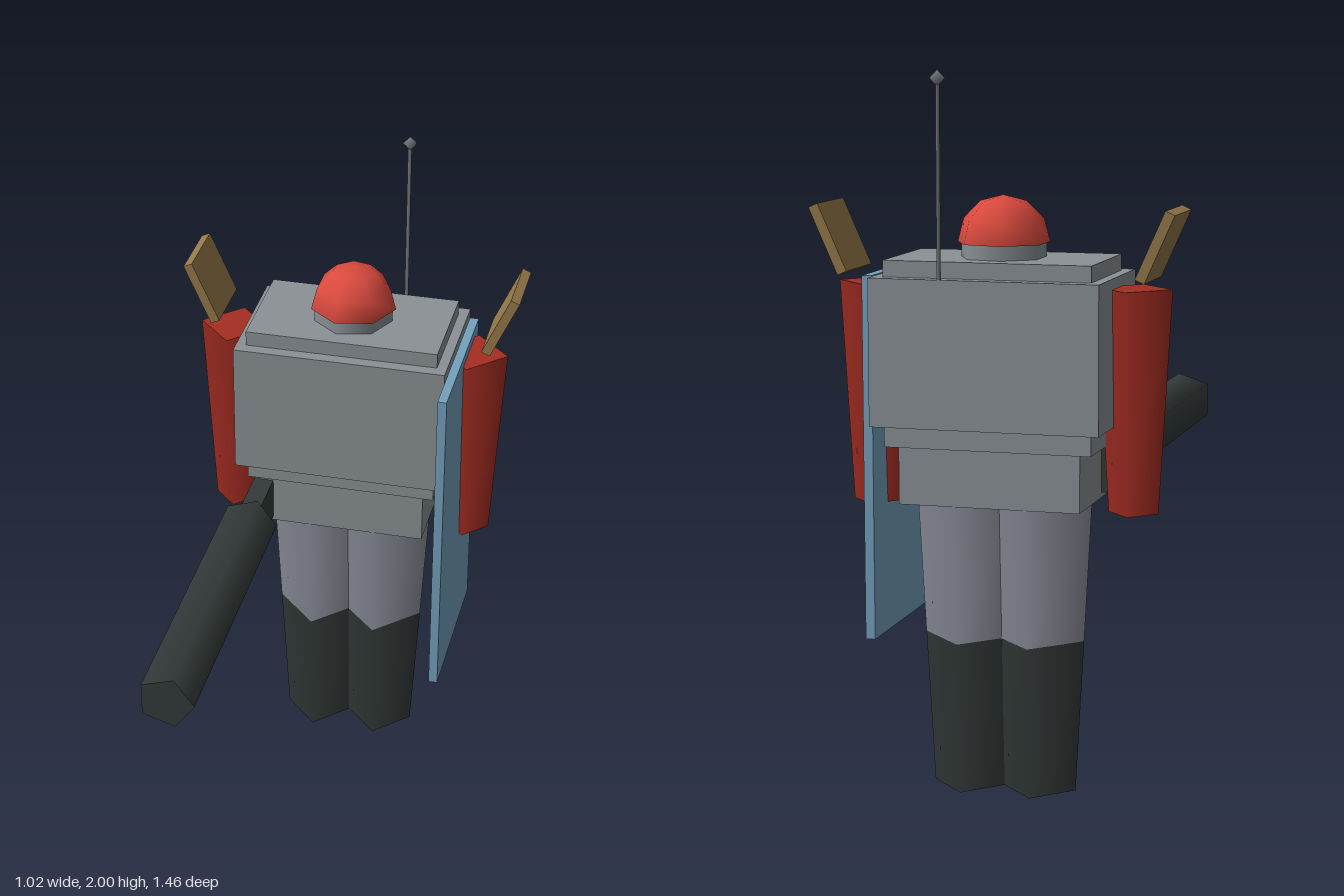
import * as THREE from 'three';

const mat = (name, hex) => {
  const m = new THREE.MeshStandardMaterial({ color: hex });
  m.name = name;
  return m;
};

export function createModel() {
  const group = new THREE.Group();
  const Z = -0.51; // depth of the body axis
  const plating = mat('plating grey', 0x8b9196);
  const cloth = mat('trouser grey', 0x8e929e);
  const dark = mat('charcoal', 0x333a39);
  const red = mat('sleeve red', 0xa52d22);
  const brightRed = mat('helmet red', 0xdb4a3e);
  const blue = mat('shield blue', 0x75a1be);
  const gold = mat('brass', 0x95794a);
  const metal = mat('antenna grey', 0x77797c);

  const add = (name, geometry, material, x, y, z) => {
    const m = new THREE.Mesh(geometry, material);
    m.name = name;
    m.position.set(x, y, z);
    group.add(m);
    return m;
  };
  const box = (name, material, w, h, d, x, y, z) =>
    add(name, new THREE.BoxGeometry(w, h, d), material, x, y, z);
  // Tapered post standing between heights y0 and y1
  const post = (name, material, r0, r1, y0, y1, sides, x, z, start = 0) =>
    add(name, new THREE.CylinderGeometry(r1, r0, y1 - y0, sides, 1, false, start),
      material, x, (y0 + y1) / 2, z);

  // Torso
  box('chest', plating, 0.64, 0.405, 0.41, 0, 1.2425, Z);
  box('torsoCore', plating, 0.58, 0.51, 0.335, 0, 1.235, Z);
  box('waist', plating, 0.51, 0.17, 0.3, 0, 0.905, Z);

  // Neck and seven-sided dome
  post('neck', plating, 0.12, 0.12, 1.48, 1.53, 7, 0, Z, Math.PI / 2);
  const dome = add('dome',
    new THREE.SphereGeometry(0.13, 7, 3, 0, Math.PI * 2, 0, Math.PI / 2),
    brightRed, 0, 1.53, Z);
  dome.rotation.y = Math.PI;

  // Limbs and shoulder fins, mirrored
  for (const [side, s] of [['left', 1], ['right', -1]]) {
    post(side + 'Boot', dark, 0.105, 0.129, 0, 0.43, 4, s * 0.1, Z);
    post(side + 'Thigh', cloth, 0.129, 0.151, 0.43, 0.83, 4, s * 0.1, Z);
    post(side + 'Arm', red, 0.07, 0.106, 0.8, 1.415, 4, s * 0.367, Z);
    const fin = box(side + 'ShoulderFin', gold, 0.028, 0.2, 0.205, s * 0.455, 1.54, -0.552);
    fin.rotation.z = -s * 0.42;
  }

  // Shield on the left arm
  box('shield', blue, 0.027, 1.01, 0.507, 0.342, 0.94, -0.408);

  // Five-sided cannon and its stock
  const barrel = add('cannonBarrel',
    new THREE.CylinderGeometry(0.084, 0.084, 0.915, 5, 1, false, Math.PI / 2),
    dark, -0.244, 0.92, 0.273);
  barrel.rotation.x = Math.PI / 2;
  box('cannonStock', dark, 0.06, 0.13, 0.25, -0.245, 0.9, -0.3);

  // Antenna
  post('antennaRod', metal, 0.006, 0.006, 1.44, 1.978, 5, 0.122, -0.707);
  add('antennaTip', new THREE.SphereGeometry(0.022, 5, 2), metal, 0.122, 1.978, -0.707);

  return group;
}
